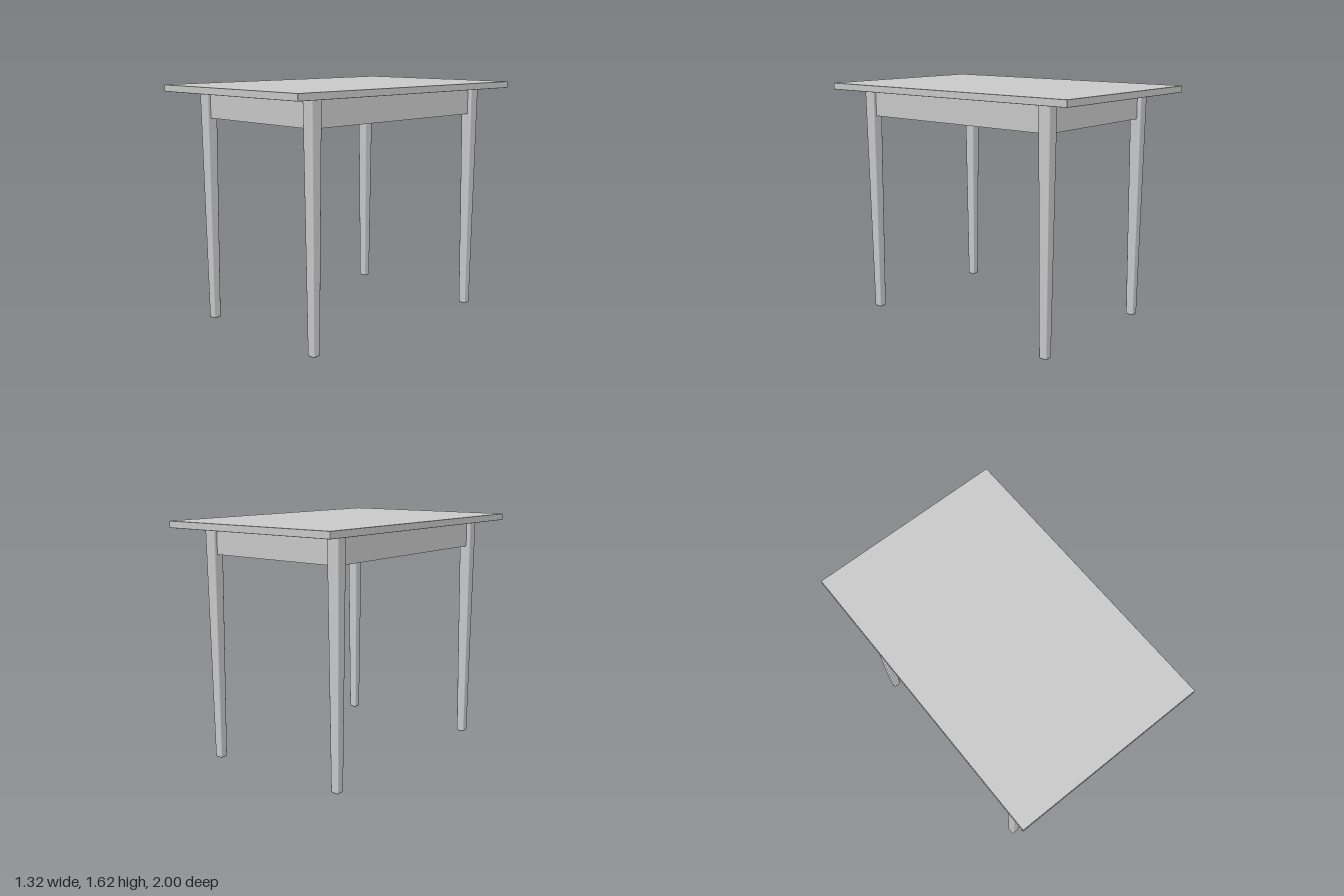
import * as THREE from 'three';
import { RoundedBoxGeometry } from 'three/addons/geometries/RoundedBoxGeometry.js';

const material = new THREE.MeshStandardMaterial({ color: 0xcccccc });

const TOP_Y = 1.625, UNDERSIDE = 1.58;
const LEG_X = 0.512, LEG_Z = 0.757;
const LEG_TOP = 0.085, LEG_FOOT = 0.056;
const APRON_Y = 1.402, APRON_THICK = 0.03;

function add(parent, name, geometry, x, y, z) {
  const mesh = new THREE.Mesh(geometry, material);
  mesh.name = name;
  mesh.position.set(x, y, z);
  parent.add(mesh);
  return mesh;
}

// Square leg with softened edges, narrowing evenly towards the foot
function legGeometry() {
  const g = new RoundedBoxGeometry(LEG_TOP, UNDERSIDE, LEG_TOP, 2, 0.013);
  g.translate(0, UNDERSIDE / 2, 0);
  const p = g.attributes.position;
  for (let i = 0; i < p.count; i++) {
    const s = THREE.MathUtils.lerp(LEG_FOOT / LEG_TOP, 1, p.getY(i) / UNDERSIDE);
    p.setXYZ(i, p.getX(i) * s, p.getY(i), p.getZ(i) * s);
  }
  return g;
}

export function createModel() {
  const table = new THREE.Group();
  table.name = 'table';

  // Flat top with barely eased edges
  const thickness = TOP_Y - UNDERSIDE;
  add(table, 'tableTop', new RoundedBoxGeometry(1.324, thickness, 2, 1, 0.003),
    0, UNDERSIDE + thickness / 2, 0);

  // Four tapered legs
  const leg = legGeometry();
  for (const [side, sx] of [['Left', 1], ['Right', -1]]) {
    add(table, `front${side}Leg`, leg, sx * LEG_X, 0, LEG_Z);
    add(table, `back${side}Leg`, leg, sx * LEG_X, 0, -LEG_Z);
  }

  // Apron boards running between the legs
  const height = UNDERSIDE - APRON_Y, y = APRON_Y + height / 2;
  const endBoard = new THREE.BoxGeometry(LEG_X * 2 - 0.04, height, APRON_THICK);
  const sideBoard = new THREE.BoxGeometry(APRON_THICK, height, LEG_Z * 2 - 0.04);
  add(table, 'frontApron', endBoard, 0, y, LEG_Z);
  add(table, 'backApron', endBoard, 0, y, -LEG_Z);
  add(table, 'leftApron', sideBoard, LEG_X, y, 0);
  add(table, 'rightApron', sideBoard, -LEG_X, y, 0);

  return table;
}
